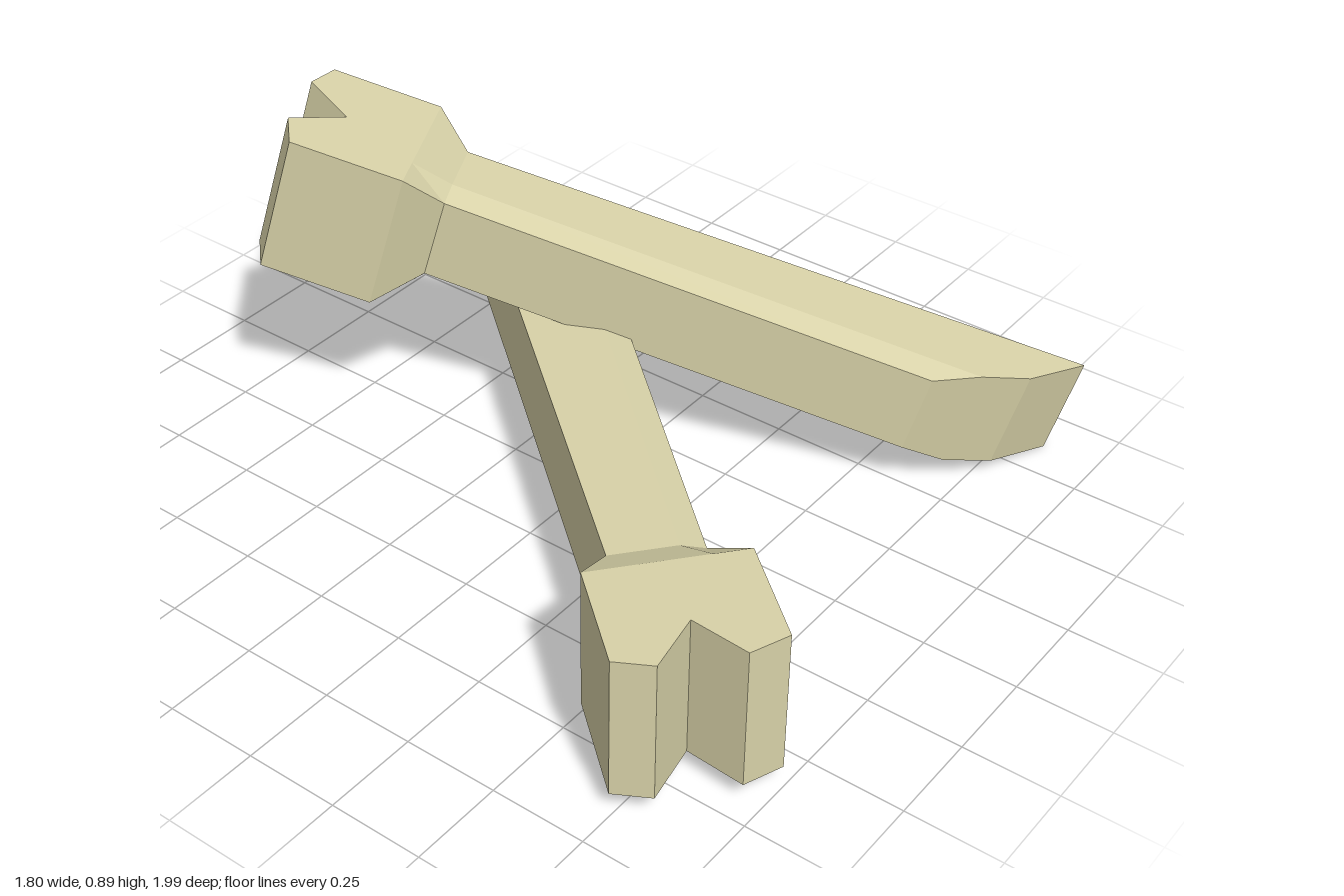
import * as THREE from 'three';

const material = new THREE.MeshStandardMaterial({ color: 0xd8d2a8, flatShading: true });

// One section: four [x, z] stations from the flat side to the chamfered side,
// with outer heights lo/hi and side-face heights sideLo/sideHi.
function section(stations, lo, hi, sideLo, sideHi) {
  const upper = stations.map(([x, z], i) => [x, i === 3 ? sideHi : hi, z]);
  const lower = stations.map(([x, z], i) => [x, i === 3 ? sideLo : lo, z]).reverse();
  return [...upper, ...lower];
}

// Shaft: flared collar, straight run with two chamfers, slanted broken end
function shaftGeometry() {
  const at = (x, zs) => zs.map((z) => [x, z]);
  const rings = [
    section(at(-0.855, [-0.211, -0.06, 0.088, 0.181]), 0.06, 0.443, 0.06, 0.443),
    section(at(-0.748, [-0.13, -0.03, 0.04, 0.104]), 0.11, 0.39, 0.148, 0.37),
    section([[0.935, -0.13], [0.794, 0.014], [0.668, 0.08], [0.548, 0.141]], 0.11, 0.39, 0.148, 0.37),
  ];
  const index = [];
  const quad = (a, b, c, d) => index.push(a, b, c, a, c, d);
  for (let i = 0; i < rings.length - 1; i++) {
    for (let j = 0; j < 8; j++) {
      const k = (j + 1) % 8;
      quad(i * 8 + j, i * 8 + k, i * 8 + 8 + k, i * 8 + 8 + j);
    }
  }
  // broken end cap
  const end = (rings.length - 1) * 8;
  for (let j = 0; j < 3; j++) quad(end + j, end + j + 1, end + 6 - j, end + 7 - j);

  const geometry = new THREE.BufferGeometry();
  geometry.setAttribute('position', new THREE.Float32BufferAttribute(rings.flat(2), 3));
  geometry.setIndex(index);
  const flat = geometry.toNonIndexed();
  flat.computeVertexNormals();
  return flat;
}

// Knob: block with a notch cut in its end
function knobGeometry() {
  const outline = [
    [-0.855, -0.211], [-1.148, -0.213], [-1.183, -0.119], [-1.057, -0.015],
    [-1.185, 0.079], [-1.15, 0.181], [-0.855, 0.181],
  ];
  const shape = new THREE.Shape(outline.map(([x, z]) => new THREE.Vector2(x, -z)));
  return new THREE.ExtrudeGeometry(shape, { depth: 0.383, bevelEnabled: false })
    .rotateX(-Math.PI / 2)
    .translate(0, 0.06, 0);
}

export function createModel() {
  const model = new THREE.Group();
  model.name = 'crossedBones';
  const shaft = shaftGeometry();
  const knob = knobGeometry();

  // along: from knob to broken end; side: towards the chamfered side
  function addBone(name, along, side, position) {
    const x = new THREE.Vector3(...along).normalize();
    const y = new THREE.Vector3(...side).cross(x).normalize();
    const z = new THREE.Vector3().crossVectors(x, y);
    const bone = new THREE.Group();
    bone.name = name;
    bone.quaternion.setFromRotationMatrix(new THREE.Matrix4().makeBasis(x, y, z));
    bone.position.set(...position);
    for (const [part, geometry] of [['shaft', shaft], ['knob', knob]]) {
      const mesh = new THREE.Mesh(geometry, material);
      mesh.name = part;
      bone.add(mesh);
    }
    model.add(bone);
  }

  addBone('lyingBone', [0.642, 0, -0.767], [0.767, 0, 0.642], [0, 0, 0]);
  addBone('leaningBone', [0.431, -0.27, 0.861], [-0.893, 0.0075, 0.45], [0.331, 0.148, 0.075]);
  return model;
}
